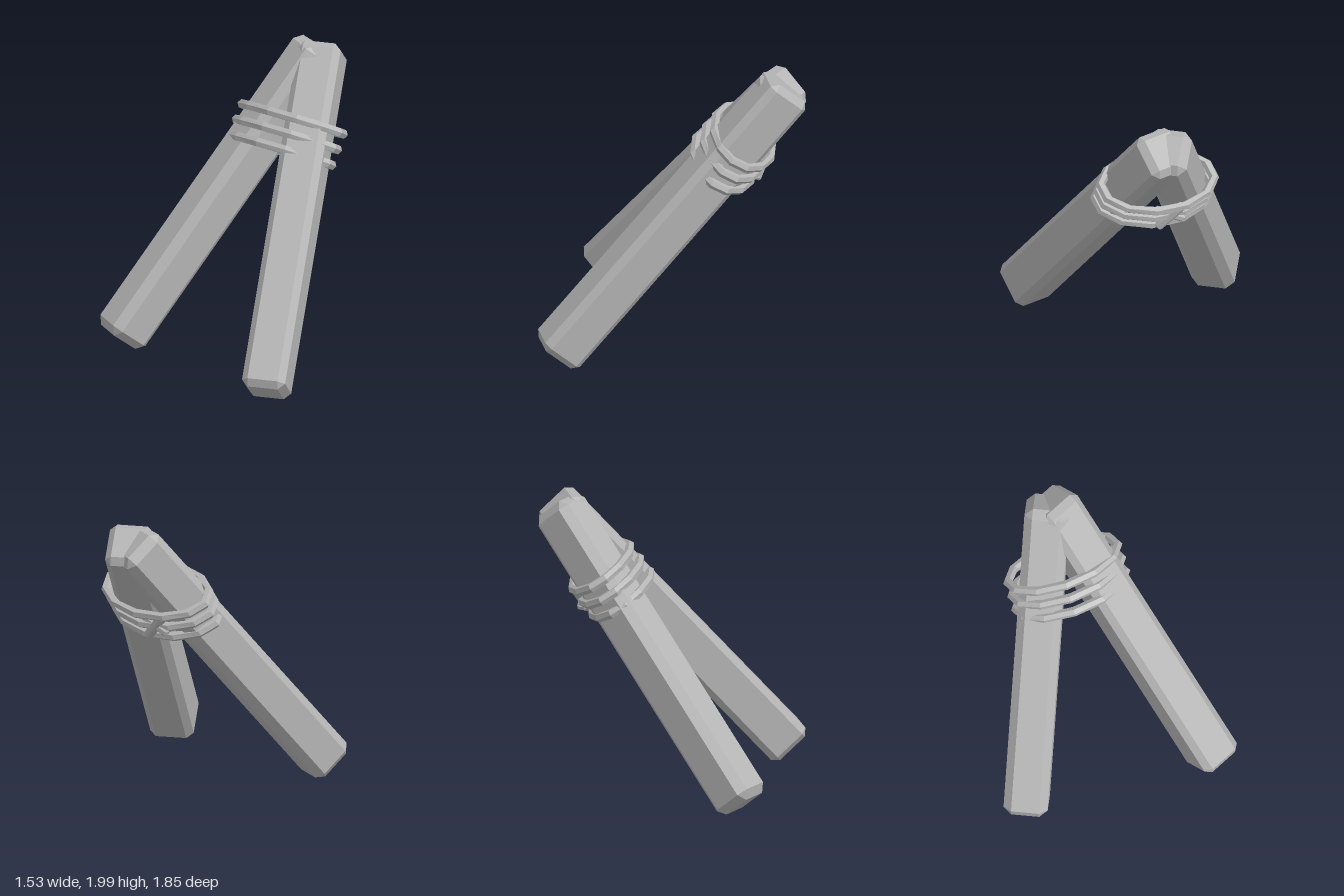
import * as THREE from 'three';
import { ConvexGeometry } from 'three/addons/geometries/ConvexGeometry.js';

const V = (x, y, z) => new THREE.Vector3(x, y, z);

// Box along y with every edge chamfered by c
function chamferedBox(w, l, d, c) {
  const points = [];
  for (const x of [-w / 2, w / 2]) for (const y of [-l / 2, l / 2]) for (const z of [-d / 2, d / 2]) {
    const [sx, sy, sz] = [Math.sign(x) * c, Math.sign(y) * c, Math.sign(z) * c];
    points.push(V(x, y - sy, z - sz), V(x - sx, y, z - sz), V(x - sx, y - sy, z));
  }
  return new ConvexGeometry(points);
}

// Chamfered bar running from one end point to the other
function bar(name, from, to, width, depth, chamfer, material) {
  const dir = to.clone().sub(from);
  const mesh = new THREE.Mesh(chamferedBox(width, dir.length(), depth, chamfer), material);
  const yAxis = dir.clone().normalize();
  const xAxis = V(0, 1, 0).cross(V(-dir.x, 0, -dir.z)).normalize();
  const zAxis = xAxis.clone().cross(yAxis);
  mesh.quaternion.setFromRotationMatrix(new THREE.Matrix4().makeBasis(xAxis, yAxis, zAxis));
  mesh.position.copy(from).add(to).multiplyScalar(0.5);
  mesh.name = name;
  return mesh;
}

// Closed faceted rope loop spanned by two axes
function ropeLoop(center, longAxis, shortAxis, radius, material) {
  const sides = 12, ringSides = 6, positions = [], index = [];
  const normal = shortAxis.clone().cross(longAxis).normalize();
  for (let i = 0; i < sides; i++) {
    const a = (i / sides) * Math.PI * 2;
    const spoke = longAxis.clone().multiplyScalar(Math.cos(a)).addScaledVector(shortAxis, Math.sin(a));
    const out = spoke.clone().normalize();
    for (let j = 0; j < ringSides; j++) {
      const b = (j / ringSides) * Math.PI * 2;
      const p = center.clone().add(spoke)
        .addScaledVector(out, Math.cos(b) * radius)
        .addScaledVector(normal, Math.sin(b) * radius);
      positions.push(p.x, p.y, p.z);
      const i2 = (i + 1) % sides, j2 = (j + 1) % ringSides;
      const [p00, p10, p11, p01] = [i * ringSides + j, i2 * ringSides + j, i2 * ringSides + j2, i * ringSides + j2];
      index.push(p00, p10, p11, p00, p11, p01);
    }
  }
  const geometry = new THREE.BufferGeometry();
  geometry.setAttribute('position', new THREE.Float32BufferAttribute(positions, 3));
  geometry.setIndex(index);
  const flat = geometry.toNonIndexed();
  flat.computeVertexNormals();
  return new THREE.Mesh(flat, material);
}

export function createModel() {
  const model = new THREE.Group();
  model.name = 'lashedPoles';
  const grey = new THREE.MeshStandardMaterial({ color: 0xb4b4b4, flatShading: true, side: THREE.DoubleSide });
  grey.name = 'grey';

  // Two leaning poles meeting at the top
  model.add(bar('rightPole', V(-0.624, 0.082, 0.292), V(0.473, 1.922, -0.783), 0.3, 0.32, 0.055, grey));
  model.add(bar('leftPole', V(0.588, 0.082, 0.834), V(0.492, 1.922, -0.79), 0.3, 0.32, 0.045, grey));

  // Three rope turns stepped up along the poles
  const lashing = new THREE.Group();
  lashing.name = 'lashing';
  const slope = (x, z) => V(x, -0.18 * x + 0.6 * z, z);
  for (const step of [-1, 0, 1]) {
    const center = V(0.345, 1.405, -0.435).addScaledVector(V(0.02, 0.09, -0.065), step);
    const loop = ropeLoop(center, slope(0.37, 0.04), slope(0.09, 0.215), 0.034, grey);
    loop.name = 'ropeTurn';
    lashing.add(loop);
  }

  // Knot of two crossed ends at the back
  lashing.add(bar('knotEnd', V(0.41, 1.19, -0.575), V(0.28, 1.375, -0.69), 0.065, 0.055, 0.012, grey));
  lashing.add(bar('knotEnd', V(0.25, 1.25, -0.66), V(0.44, 1.34, -0.59), 0.06, 0.05, 0.012, grey));
  model.add(lashing);
  return model;
}
